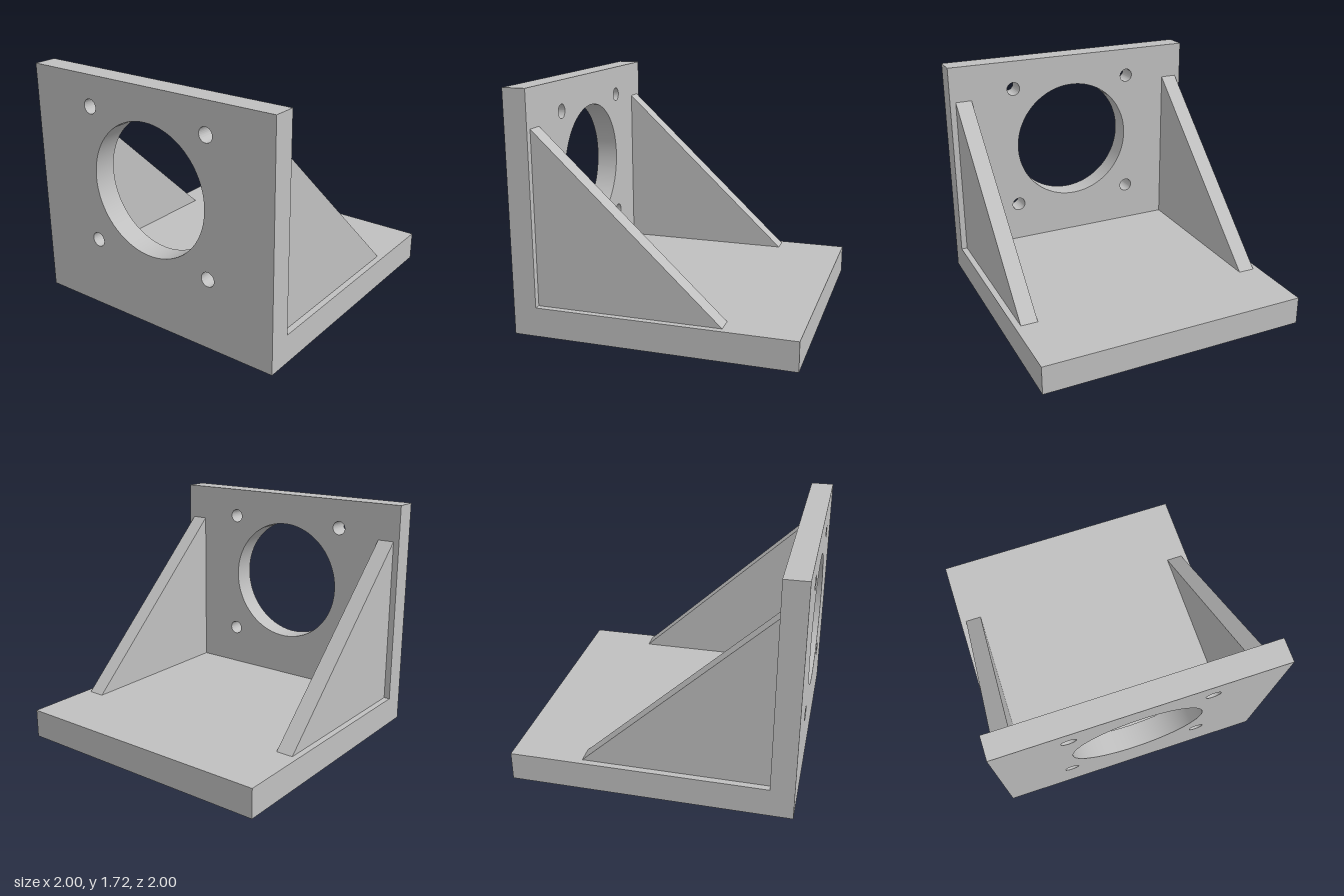
import * as THREE from 'three';
import { toCreasedNormals } from 'three/addons/utils/BufferGeometryUtils.js';

const BASE_H = 0.21, HEIGHT = 1.72, PLATE_BACK = 0.833;
const POCKET_DEPTH = 0.075, POCKET_R = 0.104;

function rectangle(x0, y0, x1, y1) {
  return new THREE.Shape([
    new THREE.Vector2(x0, y0), new THREE.Vector2(x1, y0),
    new THREE.Vector2(x1, y1), new THREE.Vector2(x0, y1),
  ]);
}

function addHole(shape, x, y, r) {
  shape.holes.push(new THREE.Path().absarc(x, y, r, 0, Math.PI * 2, true));
}

// Extrusion with crisp edges and smooth bores
function extrude(shape, depth, curveSegments = 32) {
  const geo = new THREE.ExtrudeGeometry(shape, { depth, curveSegments, bevelEnabled: false });
  return toCreasedNormals(geo, 0.5);
}

export function createModel() {
  const group = new THREE.Group();
  group.name = 'mountingBracket';
  const grey = new THREE.MeshStandardMaterial({ color: 0xc0c0c0 });
  grey.name = 'grey';

  function add(name, geometry) {
    const mesh = new THREE.Mesh(geometry, grey);
    mesh.name = name;
    group.add(mesh);
    return mesh;
  }

  // Underside layer of the base with a 6 x 6 grid of round blind pockets
  const underside = rectangle(-1, -1, 1, 1);
  for (let i = 0; i < 6; i++) {
    for (let j = 0; j < 6; j++) {
      addHole(underside, (i - 2.5) / 3, (j - 2.5) / 3, POCKET_R);
    }
  }
  add('basePocketLayer', extrude(underside, POCKET_DEPTH).rotateX(-Math.PI / 2));

  // Solid upper layer of the base, which closes the pockets
  const upperH = BASE_H - POCKET_DEPTH;
  add('baseTopLayer', new THREE.BoxGeometry(2, upperH, 2))
    .position.y = POCKET_DEPTH + upperH / 2;

  // Upright plate with a large opening and four screw holes
  const plate = rectangle(-1, BASE_H, 1, HEIGHT);
  const centreY = 1.008;
  addHole(plate, 0, centreY, 0.473);
  for (const sx of [-1, 1]) {
    for (const sy of [-1, 1]) addHole(plate, sx * 0.491, centreY + sy * 0.491, 0.052);
  }
  add('uprightPlate', extrude(plate, 1 - PLATE_BACK, 64)).position.z = PLATE_BACK;

  // Triangular side ribs, drawn in z and y and turned to run along x
  const profile = new THREE.Shape([
    new THREE.Vector2(-0.485, BASE_H),
    new THREE.Vector2(PLATE_BACK, BASE_H),
    new THREE.Vector2(PLATE_BACK, 1.447),
  ]);
  const ribWidth = 0.125;
  const ribGeometry = extrude(profile, ribWidth).rotateY(-Math.PI / 2).translate(ribWidth / 2, 0, 0);
  for (const [name, side] of [['leftRib', 1], ['rightRib', -1]]) {
    add(name, ribGeometry).position.x = side * 0.893;
  }

  return group;
}
